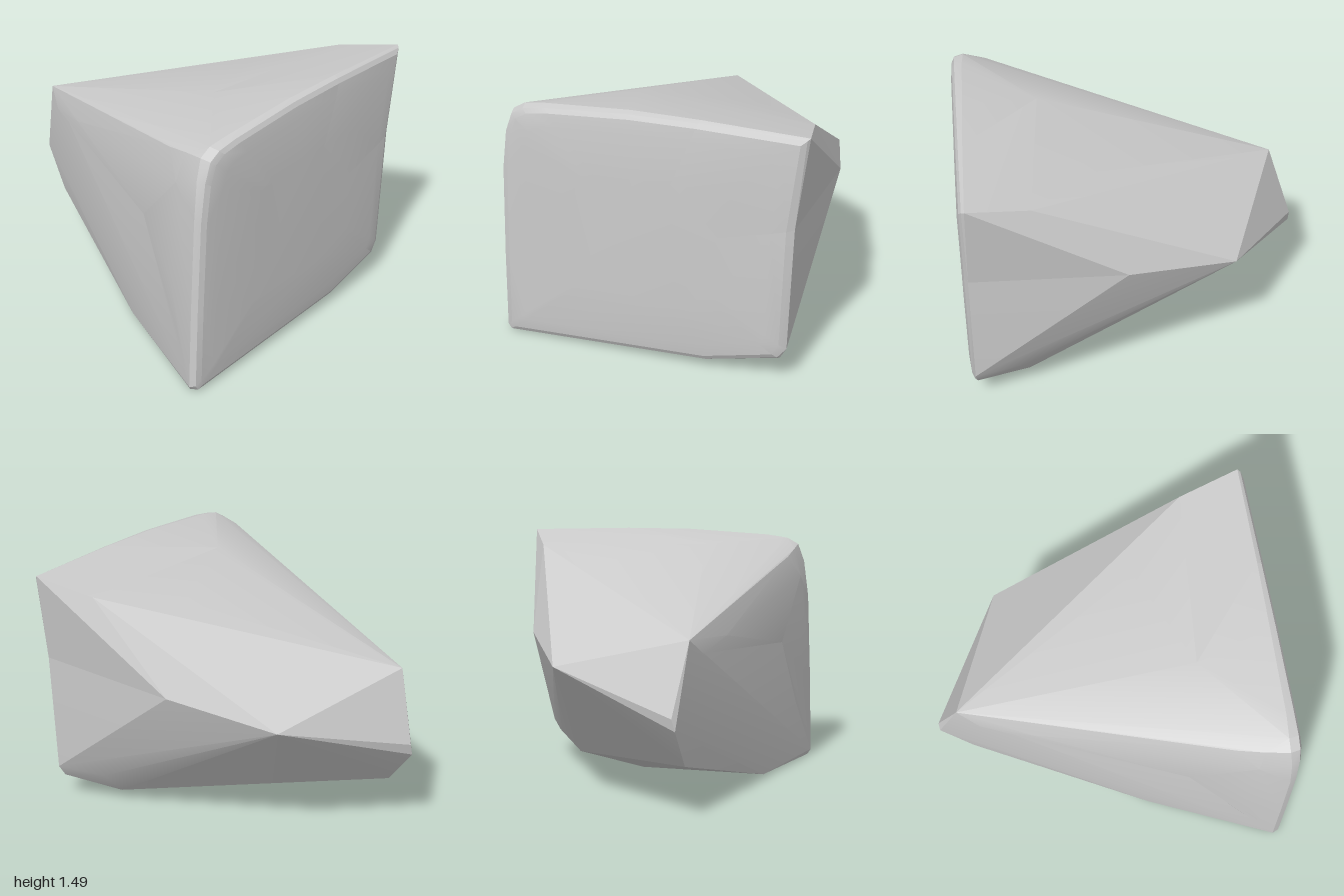
import * as THREE from 'three';
import { ConvexGeometry } from 'three/addons/geometries/ConvexGeometry.js';
import { toCreasedNormals } from 'three/addons/utils/BufferGeometryUtils.js';

// Outline of the broad, nearly flat end of the boulder: x, y, z
const backCorner = [0.95, 1.48, -0.9];
const backEdge = [0.96, 0.95, -0.83];
const topEdge = [0.94, 1.49, -0.3];
const frontRim = [
  [0.92, 1.45, 0.6], [0.91, 1.43, 0.73], [0.91, 1.39, 0.8], [0.92, 1.28, 0.84],
  [0.93, 1.05, 0.87], [0.93, 0.5, 0.89], [0.93, 0.03, 0.9], [0.92, 0, 0.88],
];
const rim = [
  topEdge, [0.93, 1.485, 0.1], ...frontRim,
  [0.94, 0.05, -0.34], [0.95, 0.15, -0.76], [0.96, 0.22, -0.8], backEdge,
];

// Corners shared by neighbouring lumps
const tip = [-0.87, 1.01, 0.125];
const ridge = [0.5, 1.425, 0.21];
const topBump = [0.25, 1.33, -0.42];
const topBack = [0.6, 1.405, -0.82];
const back = [0.08, 0.92, -0.83];

// Shrinking copies of rim points round off the edge of the broad end
function rounded(points) {
  const insets = [[0.985, 0.966], [0.95, 0.98], [0.85, 0.99], [0.5, 1]];
  return [...points, ...insets.flatMap(([scale, x]) =>
    points.map(([, y, z]) => [x, 0.75 + (y - 0.75) * scale, z * scale]))];
}

const lumps = {
  // main mass, tapering to the narrow tip
  body: [
    ...rounded(rim), tip, ridge, topBump, topBack, back,
    [-1, 0.6, 0.03], [-1, 0.53, 0.05], [-0.82, 0.3, 0.1], [-0.55, 0.81, -0.65],
    [0.67, 0.21, -0.72], [0.64, 0.07, -0.6], [0.3, 0.045, -0.18], [0.2, 0.025, 0.565],
  ],
  // sharp upper corner that flares above the back face
  backCorner: [...rounded([backCorner, backEdge, topEdge]), topBack, back, topBump, ridge],
  // lip running from the tip along the top of the front
  frontShoulder: [
    ...frontRim.slice(0, 5), tip, ridge, [-0.75, 0.92, 0.2], [-0.45, 0.98, 0.33],
    [0.25, 0.95, 0.61], [0.4, 0.82, 0.68], [0.3, 1.15, 0.6],
    [0.63, 1.33, 0.72], [0.78, 1.37, 0.77], [0.75, 1.2, 0.81],
  ],
  // low swelling beside the broad end
  frontSwelling: [
    ...frontRim.slice(2), [0.75, 1.2, 0.81], [0.4, 0.82, 0.68],
    [0.72, 0.6, 0.82], [0.8, 0.3, 0.85],
  ],
};

export function createModel() {
  const group = new THREE.Group();
  group.name = 'rock';
  const material = new THREE.MeshStandardMaterial({ color: 0xcccccc });
  for (const [name, corners] of Object.entries(lumps)) {
    const hull = new ConvexGeometry(corners.map((p) => new THREE.Vector3(...p)));
    const mesh = new THREE.Mesh(toCreasedNormals(hull, 0.3), material);
    mesh.name = name;
    group.add(mesh);
  }
  return group;
}
